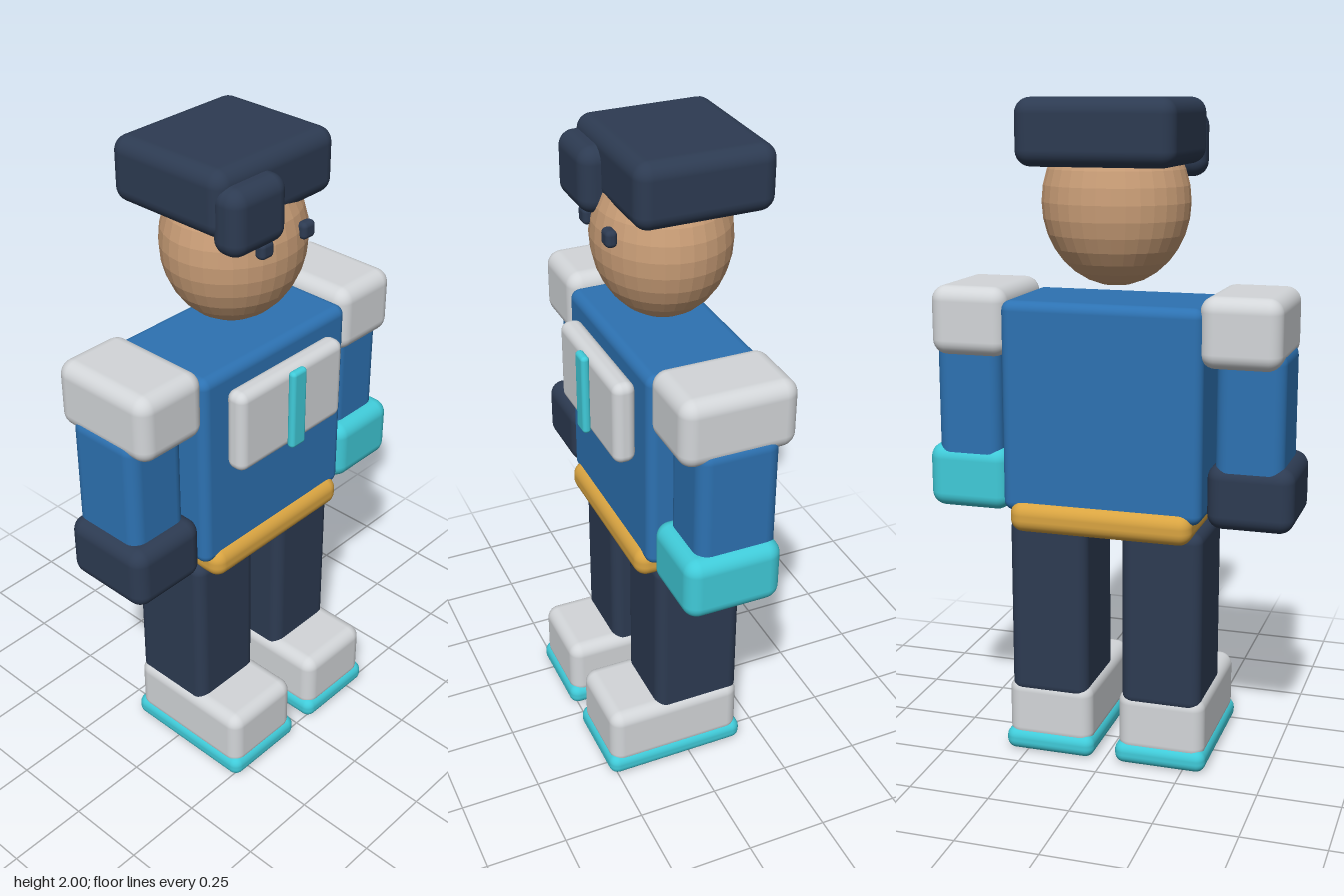
import * as THREE from 'three';
import { RoundedBoxGeometry } from 'three/addons/geometries/RoundedBoxGeometry.js';

const paint = (name, color) => new THREE.MeshStandardMaterial({ name, color });

export function createModel() {
  const navy = paint('navy', 0x2d3b52);
  const blue = paint('blue', 0x2d72b2);
  const cyan = paint('cyan', 0x40cbd9);
  const white = paint('paleGrey', 0xd3d6d9);
  const gold = paint('gold', 0xd9a441);
  const skin = paint('skin', 0xcb9f78);
  skin.flatShading = true;

  const model = new THREE.Group();
  model.name = 'blockFigure';

  // Rounded block given by its extents along each axis
  function block(name, material, [x0, x1], [y0, y1], [z0, z1], radius, parent = model) {
    const geometry = new RoundedBoxGeometry(x1 - x0, y1 - y0, z1 - z0, 4, radius);
    const mesh = new THREE.Mesh(geometry, material);
    mesh.position.set((x0 + x1) / 2, (y0 + y1) / 2, (z0 + z1) / 2);
    mesh.name = name;
    parent.add(mesh);
    return mesh;
  }

  // Torso, belt and chest panel
  block('torso', blue, [-0.305, 0.305], [0.79, 1.425], [-0.208, 0.14], 0.03);
  block('belt', gold, [-0.28, 0.28], [0.73, 0.825], [-0.232, 0.163], 0.04);
  block('chestPanel', white, [-0.22, 0.22], [1.11, 1.37], [0.137, 0.205], 0.028);
  block('chestStripe', cyan, [-0.03, 0.03], [1.115, 1.37], [0.202, 0.228], 0.012);

  // Faceted head
  const head = new THREE.Mesh(new THREE.SphereGeometry(1, 32, 16), skin);
  head.scale.set(0.22, 0.245, 0.2);
  head.position.set(0, 1.705, -0.03);
  head.name = 'head';
  model.add(head);

  // Hair with a swept forelock on the right
  block('hair', navy, [-0.234, 0.234], [1.81, 2], [-0.273, 0.138], 0.045);
  block('forelock', navy, [-0.23, -0.018], [1.77, 1.962], [0.09, 0.194], 0.045);

  // Limbs, mirrored; the hands differ in colour
  for (const side of [1, -1]) {
    const label = side > 0 ? 'left' : 'right';
    const span = (inner, outer) => (side > 0 ? [inner, outer] : [-outer, -inner]);

    block(label + 'Eye', navy, span(0.059, 0.109), [1.73, 1.78], [0.142, 0.176], 0.014);

    const arm = new THREE.Group();
    arm.name = label + 'Arm';
    block(label + 'Shoulder', white, span(0.29, 0.528), [1.253, 1.46], [-0.21, 0.138], 0.045, arm);
    block(label + 'Sleeve', blue, span(0.33, 0.533), [0.87, 1.305], [-0.157, 0.09], 0.04, arm);
    block(label + 'Hand', side > 0 ? cyan : navy, span(0.307, 0.565), [0.77, 0.968], [-0.164, 0.133], 0.045, arm);
    model.add(arm);

    const leg = new THREE.Group();
    leg.name = label + 'Leg';
    block(label + 'Trouser', navy, span(0.054, 0.301), [0.19, 0.757], [-0.172, 0.107], 0.035, leg);
    block(label + 'Shoe', white, span(0.042, 0.313), [0.035, 0.235], [-0.172, 0.264], 0.04, leg);
    block(label + 'Sole', cyan, span(0.034, 0.32), [0, 0.07], [-0.182, 0.273], 0.03, leg);
    model.add(leg);
  }

  return model;
}
